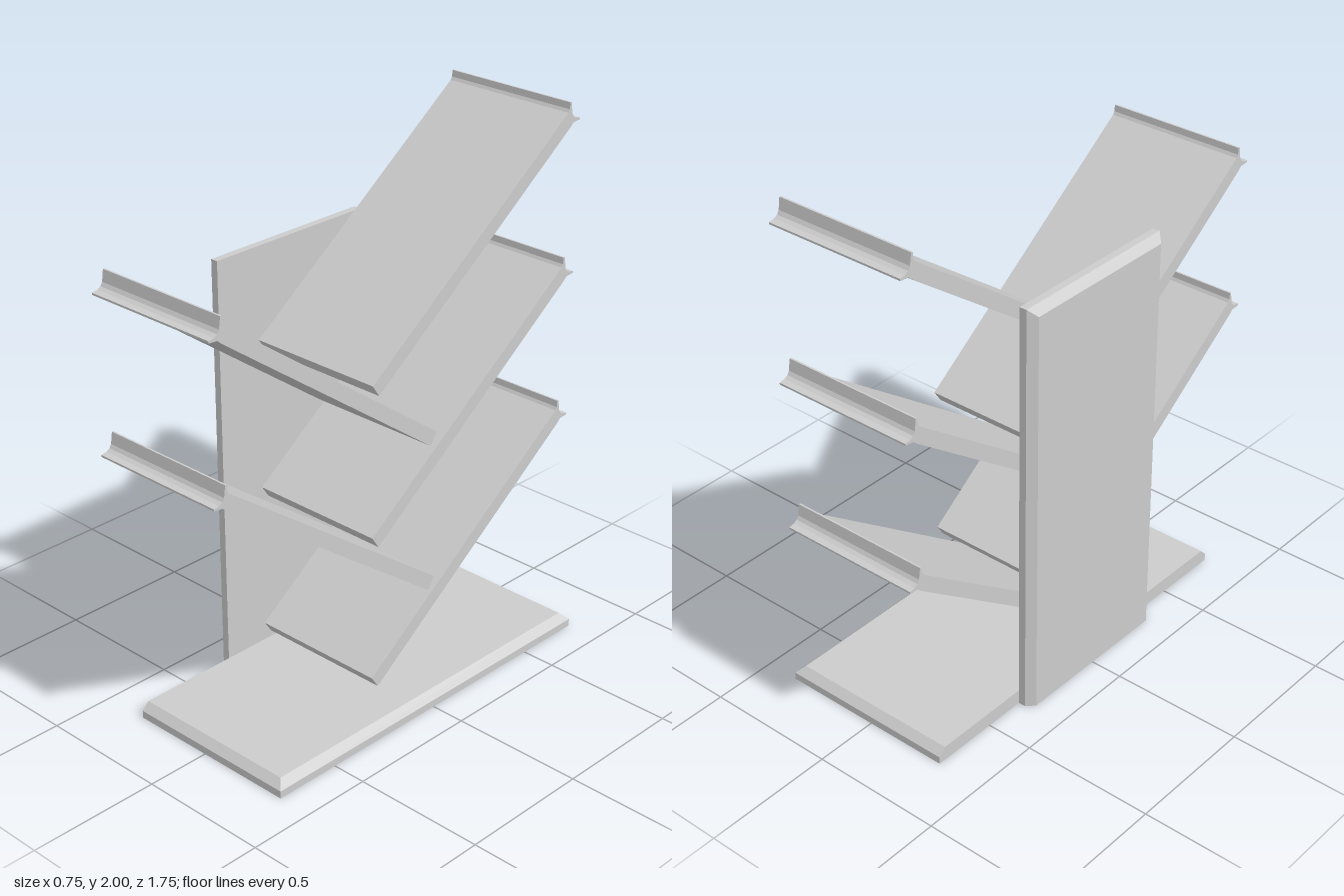
import * as THREE from 'three';

const material = new THREE.MeshStandardMaterial({ color: 0xcccccc, flatShading: true });

// Board lying on y = 0 from x = 0 to x = length; top edge chamfered on three sides
function chamferedBoard(name, length, depth) {
  const height = 0.056, bevel = 0.028;
  const geometry = new THREE.BoxGeometry(length, height, depth, 1, 2, 1);
  geometry.translate(length / 2, height / 2, 0);
  const p = geometry.attributes.position;
  for (let i = 0; i < p.count; i++) {
    if (p.getY(i) < height - 0.001) continue;
    if (p.getX(i) > length / 2) p.setX(i, length - bevel);
    p.setZ(i, p.getZ(i) - Math.sign(p.getZ(i)) * bevel);
  }
  geometry.computeVertexNormals();
  const mesh = new THREE.Mesh(geometry, material);
  mesh.name = name;
  return mesh;
}

// Sloping shelf section: outward distance, height; forked lip at the high end
const shelfProfile = [
  [-0.13, 0.08], [0.825, 0.774], [0.842, 0.789], [0.877, 0.792], [0.877, 0.799],
  [0.855, 0.803], [0.842, 0.811], [0.834, 0.824], [0.831, 0.845], [0.828, 0.866],
  [0.821, 0.866], [0.819, 0.842], [0.812, 0.831], [-0.16, 0.125],
].map(([s, y]) => new THREE.Vector2(s, y));

const shelfGeometry = new THREE.ExtrudeGeometry(new THREE.Shape(shelfProfile), {
  depth: 0.54, bevelEnabled: false,
});

function shelf(name, lift, toFront) {
  const mesh = new THREE.Mesh(shelfGeometry, material);
  mesh.name = name;
  mesh.rotation.y = toFront ? -Math.PI / 2 : Math.PI / 2;
  mesh.position.set(toFront ? 0.22 : -0.32, lift, 0);
  return mesh;
}

export function createModel() {
  const group = new THREE.Group();
  group.name = 'slopingShelfStand';

  // Floor plate
  const base = chamferedBoard('base', 0.69, 1.516);
  base.position.x = -0.32;
  group.add(base);

  // Upright panel, chamfers facing outward
  const upright = chamferedBoard('uprightPanel', 1.604, 0.686);
  upright.rotation.z = Math.PI / 2;
  upright.position.x = -0.32;
  group.add(upright);

  // Shelves alternate between back and front
  [0, 0.562, 1.134].forEach((y, i) => group.add(shelf(`backShelf${i + 1}`, y, false)));
  [0.281, 0.854].forEach((y, i) => group.add(shelf(`frontShelf${i + 1}`, y, true)));

  return group;
}
